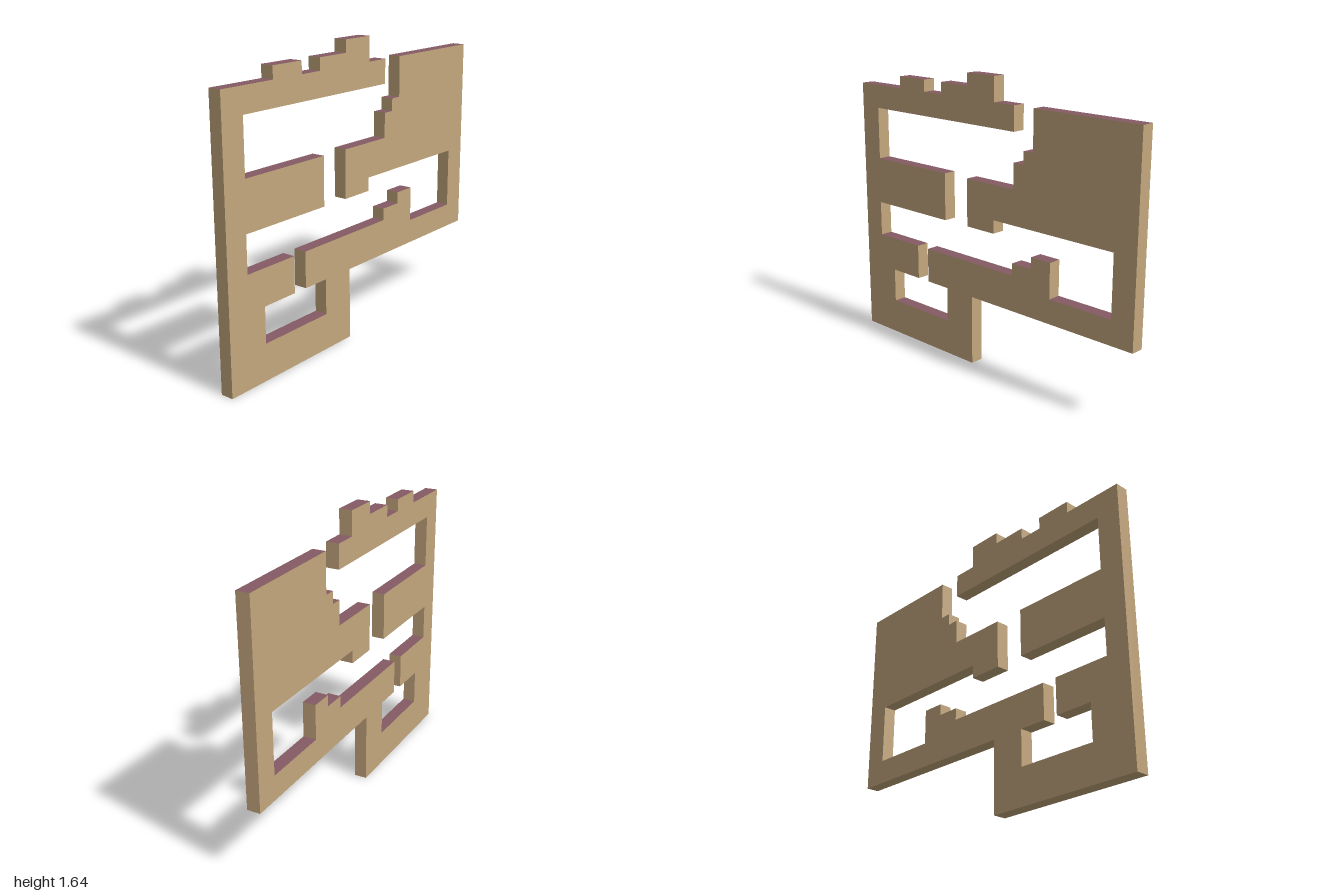
import * as THREE from 'three';

const THICKNESS = 0.074;

// Right-angled outline, anticlockwise from the lower left corner:
// each entry alternately gives the next x and the next y.
const OUTLINE = [
  // foot and right-hand block with its stepped shoulder
  -0.095, 0.4, 1, 1.51, 0.345, 1.285, 0.28, 1.215, 0.213, 1.075, -0.128, 0.805,
  // right chamber with its stepped floor
  0.07, 0.88, 0.865, 0.537, 0.47, 0.735, 0.34, 0.67, 0.208, 0.602, -0.455,
  // lower chamber and its entrance
  0.402, -0.295, 0.203, -0.758, 0.402, -0.54, 0.602,
  // left ledges
  -0.87, 0.805, -0.303, 1.075, -0.865, 1.375,
  // top beam with raised blocks
  0.213, 1.51, 0.075, 1.645, -0.122, 1.577, -0.325, 1.51, -0.46, 1.577, -0.663, 1.51, -1,
];

function outlineShape() {
  const shape = new THREE.Shape();
  let x = -1, y = 0;
  shape.moveTo(x, y);
  OUTLINE.forEach((value, i) => {
    if (i % 2 === 0) x = value;
    else y = value;
    shape.lineTo(x, y);
  });
  shape.closePath();
  return shape;
}

// Keeps only the triangles that do, or do not, face straight up
function pickFaces(source, upward) {
  const geometry = source.clone();
  const normal = geometry.attributes.normal;
  const index = [];
  for (let i = 0; i < normal.count; i += 3) {
    if ((normal.getY(i) > 0.5) === upward) index.push(i, i + 1, i + 2);
  }
  geometry.clearGroups();
  geometry.setIndex(index);
  return geometry;
}

export function createModel() {
  const model = new THREE.Group();
  model.name = 'platformSlab';

  const tan = new THREE.MeshStandardMaterial({ color: 0xc4a77d });
  tan.name = 'tan';
  const mauve = new THREE.MeshStandardMaterial({ color: 0x845a64 });
  mauve.name = 'mauve';

  const slab = new THREE.ExtrudeGeometry(outlineShape(), { depth: THICKNESS, bevelEnabled: false });
  slab.translate(0, 0, -THICKNESS / 2);

  // Tan body, and mauve top surface on every ledge
  const body = new THREE.Mesh(pickFaces(slab, false), tan);
  body.name = 'body';
  const ledgeTops = new THREE.Mesh(pickFaces(slab, true), mauve);
  ledgeTops.name = 'ledgeTops';

  model.add(body, ledgeTops);
  return model;
}
